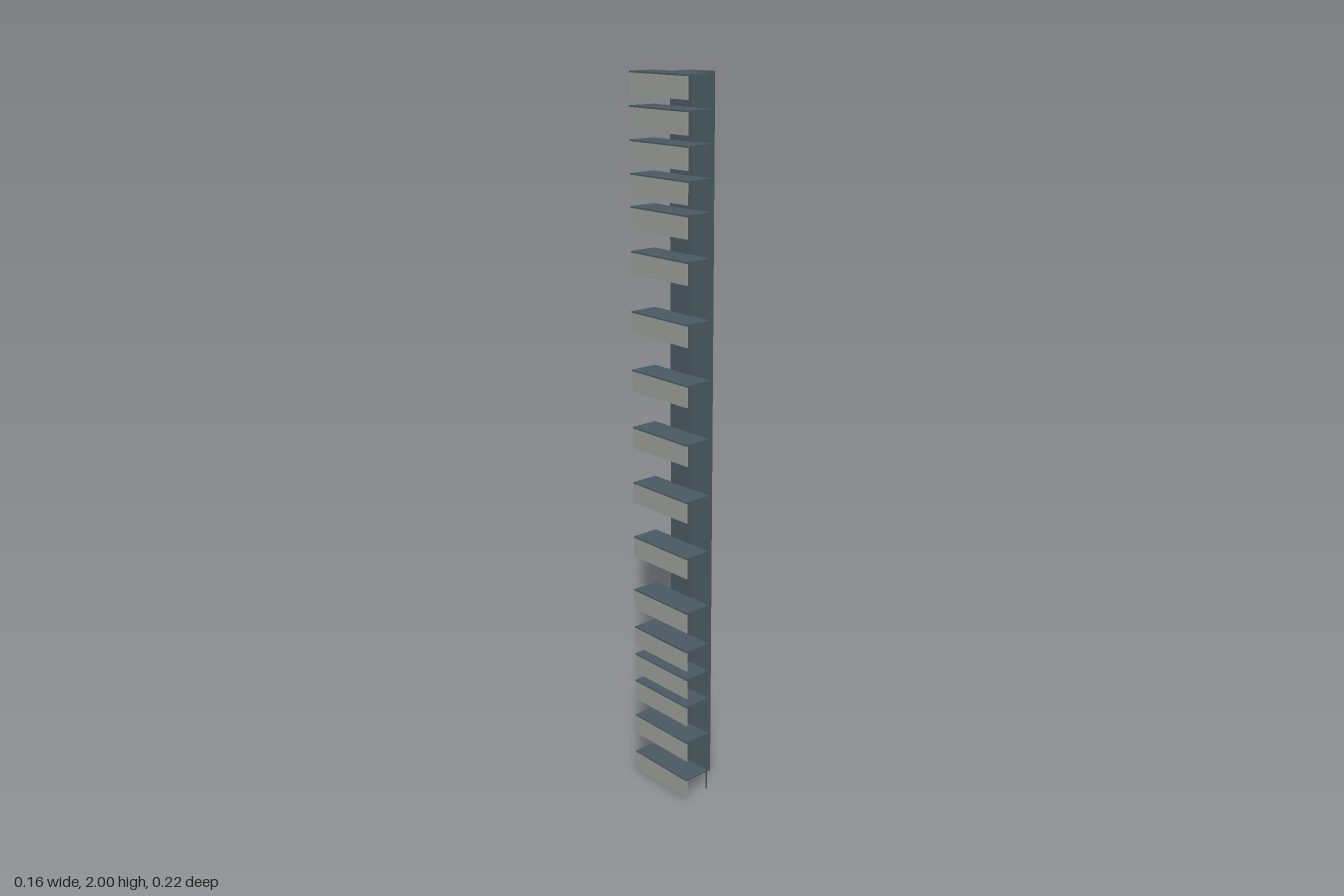
import * as THREE from 'three';

const slate = new THREE.MeshStandardMaterial({ color: 0x4b5b63 });
slate.name = 'slate';
const paleGrey = new THREE.MeshStandardMaterial({ color: 0x9fa19b });
paleGrey.name = 'pale grey';

// Box given by its lower and upper corners
function box(name, material, min, max) {
  const size = max.map((v, i) => v - min[i]);
  const mesh = new THREE.Mesh(new THREE.BoxGeometry(...size), material);
  mesh.position.set(...max.map((v, i) => (v + min[i]) / 2));
  mesh.name = name;
  return mesh;
}

const T = 0.004; // sheet thickness
const H = 0.06; // bracket height
const X0 = -0.078, X1 = 0.003, Z = 0.11;

// Bracket folded from sheet, open below, in front and towards the column
function bracket(top) {
  const g = new THREE.Group();
  g.name = 'bracket';
  const low = top - H, under = top - T;
  g.add(
    box('bracketTop', slate, [X0, under, -Z], [X1, top, Z]),
    box('bracketSide', paleGrey, [X0, low, -Z], [X0 + T, under, Z]),
    box('bracketEnd', paleGrey, [X0 + T, low, -Z], [X1, under, -Z + T]),
    box('bracketPost', slate, [X1 - 0.003, low, Z - 0.003], [X1, under, Z])
  );
  return g;
}

export function createModel() {
  const model = new THREE.Group();
  model.name = 'bracketedColumn';

  // Square column
  model.add(box('column', slate, [0, 0, -0.042], [0.078, 2, 0.042]));

  // Brackets, closer together near both ends
  const tops = [2, 1.915, 1.83, 1.745, 1.66, 1.543, 1.382, 1.221, 1.06,
    0.9, 0.739, 0.578, 0.462, 0.377, 0.292, 0.18, H];
  for (const top of tops) model.add(bracket(top));

  return model;
}
